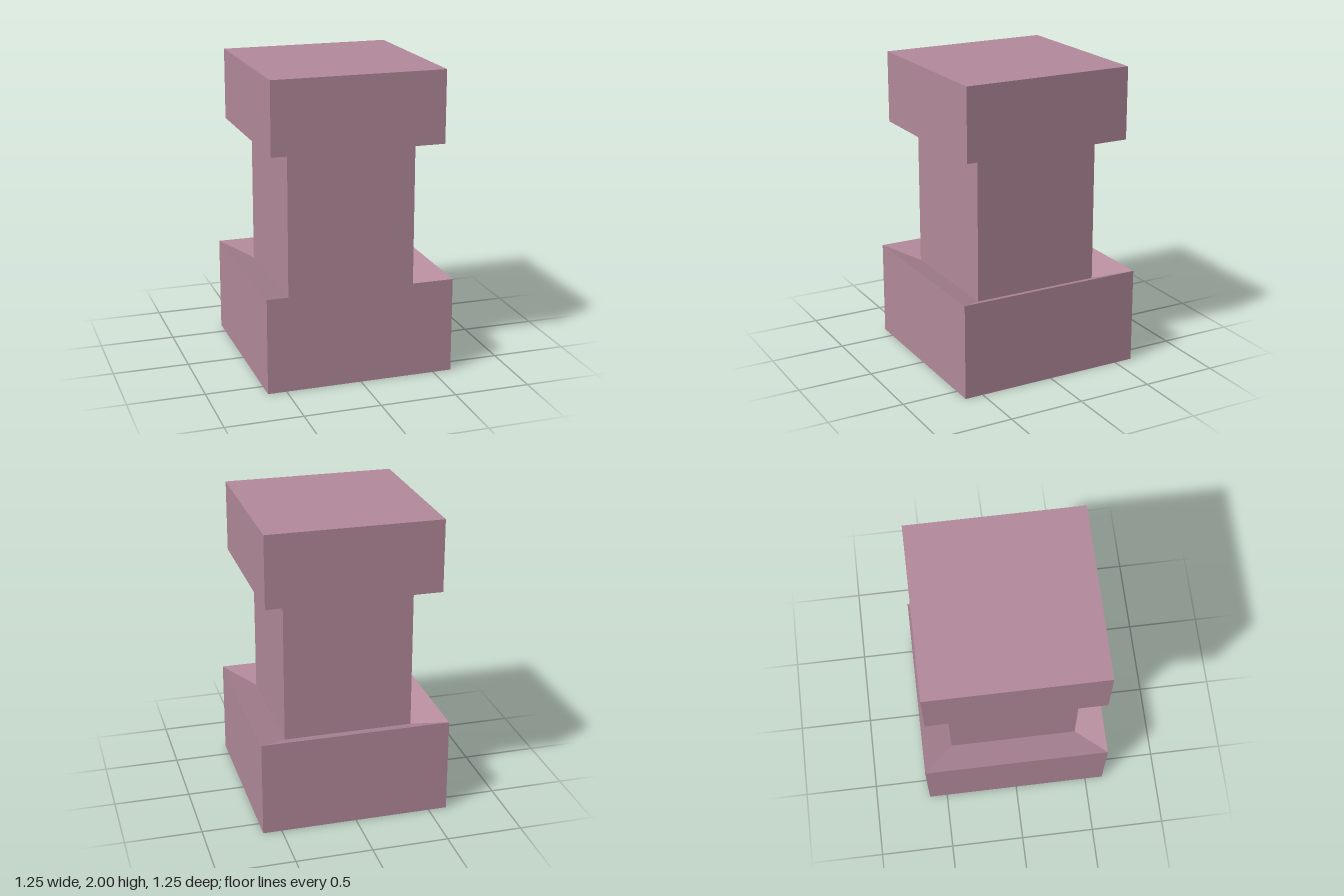
import * as THREE from 'three';

const BASE = 0.623, COLUMN = 0.426, CAP = 0.57; // half widths
const RIM_Y = 0.633, SINK_Y = 0.553, CAP_Y = 1.524, TOP_Y = 2;

export function createModel() {
  const group = new THREE.Group();
  const mauve = new THREE.MeshStandardMaterial({ color: 0xb48b9c });
  mauve.name = 'dusty mauve';

  const add = (name, geometry) => {
    const mesh = new THREE.Mesh(geometry, mauve);
    mesh.name = name;
    group.add(mesh);
    return mesh;
  };

  // Square block standing between two heights
  const block = (name, half, y0, y1) => {
    add(name, new THREE.BoxGeometry(half * 2, y1 - y0, half * 2)).position.y = (y0 + y1) / 2;
  };

  // Four-sided base whose top slopes down and inward to the column
  const profile = [[0, 0], [BASE, 0], [BASE, RIM_Y], [COLUMN, SINK_Y]]
    .map(([half, y]) => new THREE.Vector2(half * Math.SQRT2, y));
  const base = new THREE.LatheGeometry(profile, 4, Math.PI / 4).toNonIndexed();
  base.computeVertexNormals();
  add('base', base);

  block('column', COLUMN, SINK_Y, CAP_Y);
  block('cap', CAP, CAP_Y, TOP_Y);

  return group;
}
